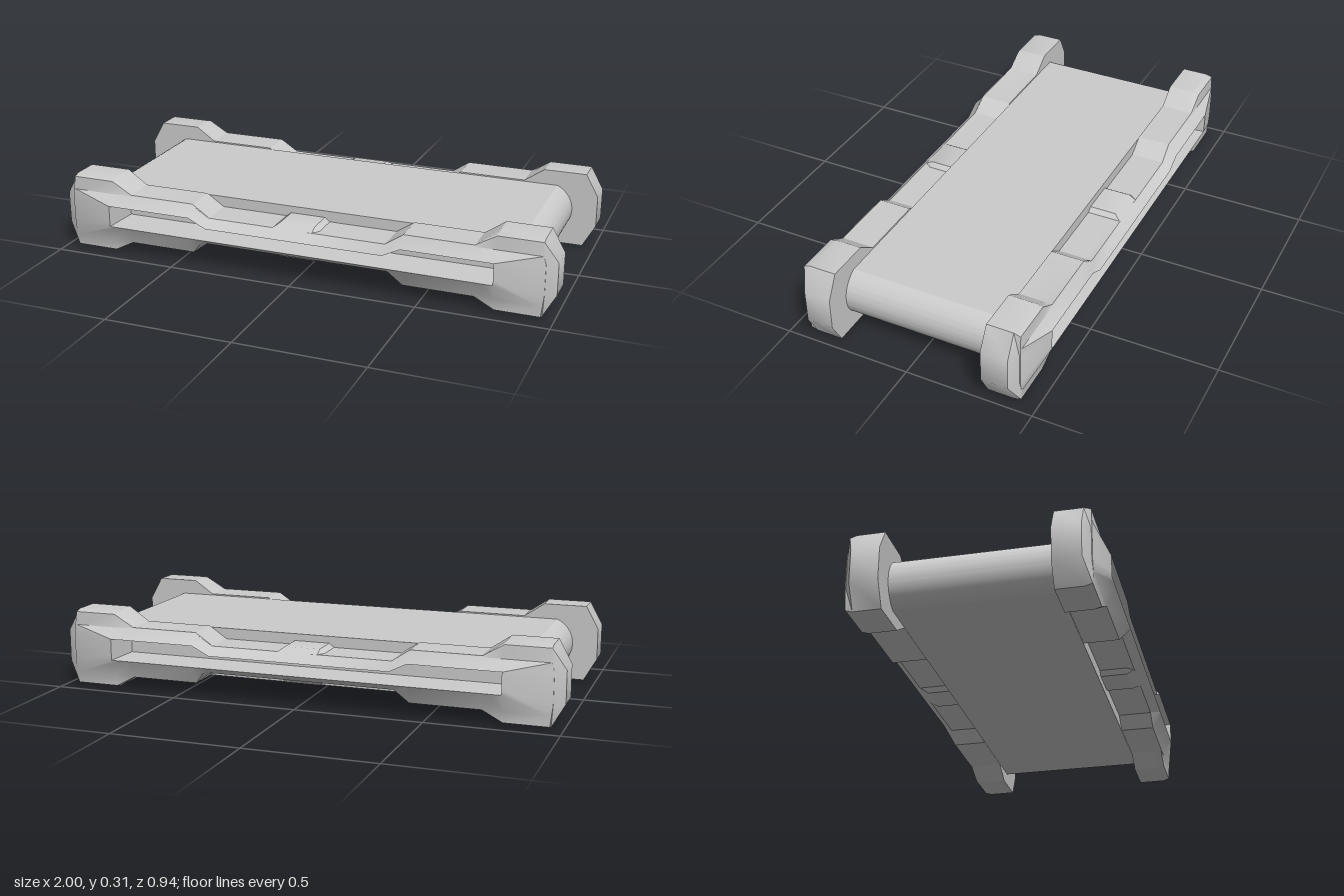
import * as THREE from 'three';
import { toCreasedNormals } from 'three/addons/utils/BufferGeometryUtils.js';

const material = new THREE.MeshStandardMaterial({ color: 0xcccccc });

// Half outlines (x > 0), running from bottom centre round the end to top centre.
const OUTER = [
  [0.07, 0.078], [0.09, 0.095], [0.37, 0.095], [0.43, 0.05], [0.70, 0.05], [0.78, 0],
  [0.95, 0], [1, 0.09], [1, 0.215], [0.95, 0.305], [0.78, 0.305], [0.70, 0.25],
  [0.43, 0.25], [0.36, 0.203], [0.09, 0.203], [0.07, 0.218],
];
const SLOT = [
  [0.07, 0.12], [0.09, 0.12], [0.37, 0.12], [0.43, 0.12], [0.70, 0.12], [0.74, 0.12],
  [0.78, 0.12], [0.78, 0.14], [0.78, 0.185], [0.78, 0.205], [0.74, 0.205], [0.70, 0.205],
  [0.43, 0.205], [0.36, 0.17], [0.09, 0.17], [0.07, 0.17],
];

const clamp = THREE.MathUtils.clamp;
const mirrored = (half) => [...half, ...half.map(([x, y]) => [-x, y]).reverse()];
const limited = (half, maxX, minY, maxY) =>
  half.map(([x, y]) => [Math.min(x, maxX), clamp(y, minY, maxY)]);
// Removes the small centre pads from an outline
const withoutPads = (half) => half.map(([x, y]) => [x, x < 0.08 ? clamp(y, 0.095, 0.203) : y]);

// Skins a stack of matching closed outlines and closes both ends.
function loft(sections) {
  const positions = [], index = [];
  const n = sections[0].points.length;
  for (const { points, z } of sections) {
    for (const [x, y] of points) positions.push(x, y, z);
  }
  for (let k = 0; k < sections.length - 1; k++) {
    for (let i = 0; i < n; i++) {
      const a = k * n + i, b = k * n + (i + 1) % n;
      index.push(a, b, b + n, a, b + n, a + n);
    }
  }
  const cap = (k, flip) => {
    const contour = sections[k].points.map(([x, y]) => new THREE.Vector2(x, y));
    for (const [a, b, c] of THREE.ShapeUtils.triangulateShape(contour, [])) {
      const o = k * n;
      index.push(o + a, o + (flip ? c : b), o + (flip ? b : c));
    }
  };
  cap(0, true);
  cap(sections.length - 1, false);
  const geometry = new THREE.BufferGeometry();
  geometry.setAttribute('position', new THREE.Float32BufferAttribute(positions, 3));
  geometry.setIndex(index);
  return toCreasedNormals(geometry, 0.55);
}

// Side rail: thick ends, stepped waist, bevelled face and recessed slot
function railGeometry() {
  const plain = withoutPads(OUTER);
  const recess = SLOT.map(([x, y]) => [x > 0.77 ? x - 0.015 : x, y > 0.15 ? y - 0.008 : y + 0.004]);
  return loft([
    [OUTER, 0.303],
    [OUTER, 0.408],
    [limited(plain, 0.96, 0.008, 0.297), 0.434],
    [limited(plain, 0.96, 0.05, 0.245), 0.437],
    [SLOT, 0.472],
    [recess, 0.33],
  ].map(([half, z]) => ({ points: mirrored(half), z })));
}

// Flat slab with bulging ends
function slabGeometry() {
  const radius = 0.1056, centreX = 0.7944, centreY = 0.1475, sweep = 1.176;
  const shape = new THREE.Shape();
  shape.absarc(centreX, centreY, radius, -sweep, sweep, false);
  shape.absarc(-centreX, centreY, radius, Math.PI - sweep, Math.PI + sweep, false);
  shape.closePath();
  const geometry = new THREE.ExtrudeGeometry(shape, { depth: 0.604, bevelEnabled: false, curveSegments: 16 });
  geometry.translate(0, 0, -0.302);
  return toCreasedNormals(geometry, 0.3);
}

export function createModel() {
  const model = new THREE.Group();
  model.name = 'railedPlatform';

  const slab = new THREE.Mesh(slabGeometry(), material);
  slab.name = 'platformSlab';
  model.add(slab);

  const rail = railGeometry();
  for (const [name, turn] of [['frontRail', 0], ['backRail', Math.PI]]) {
    const mesh = new THREE.Mesh(rail, material);
    mesh.name = name;
    mesh.rotation.y = turn;
    model.add(mesh);
  }
  return model;
}
